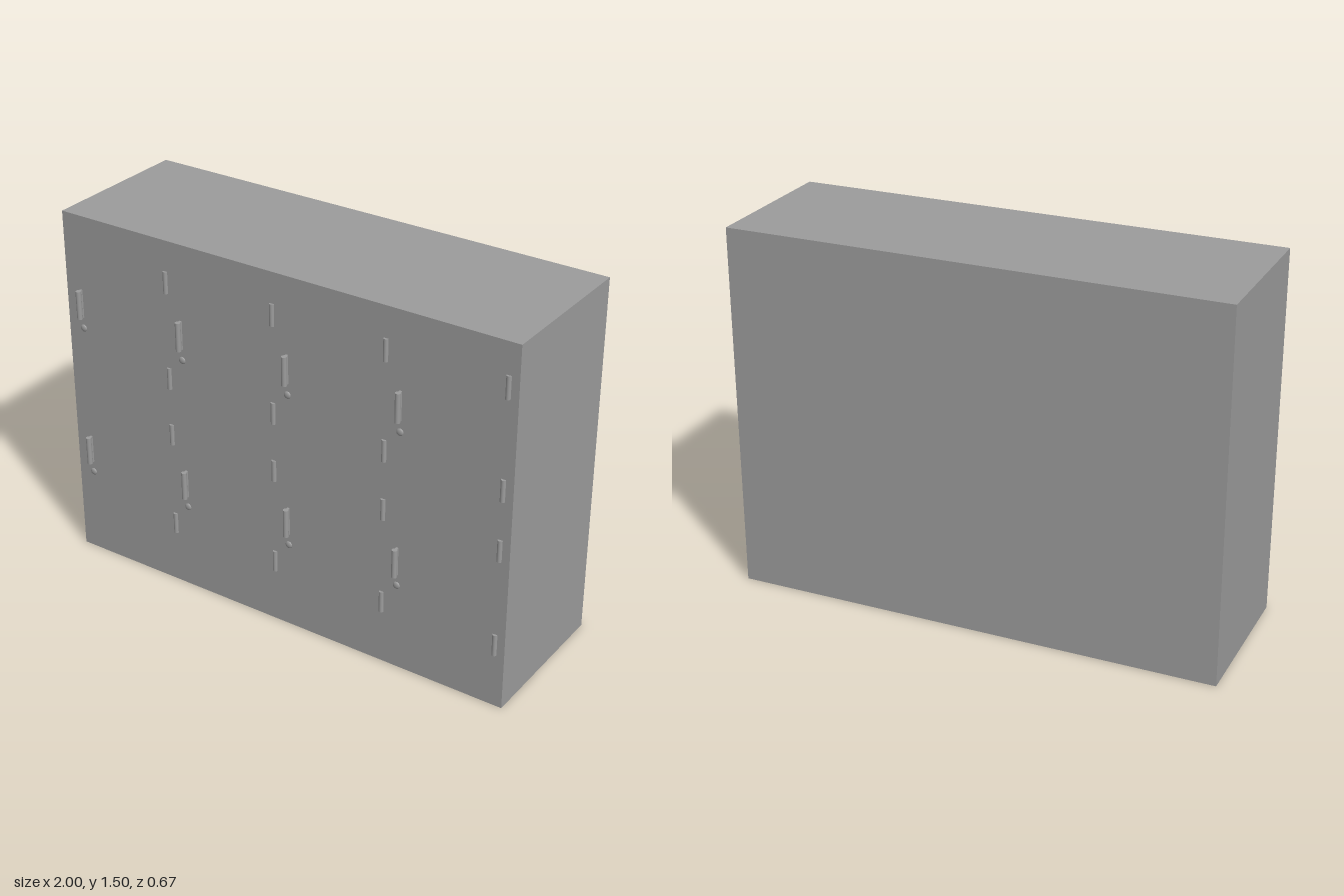
import * as THREE from 'three';

const FRONT = 0.303;
const BACK = -0.333;
const HEIGHT = 1.502;

export function createModel() {
  const group = new THREE.Group();
  const material = new THREE.MeshStandardMaterial({ color: 0x9c9c9c });
  const add = (name, geometry, x, y, z) => {
    const mesh = new THREE.Mesh(geometry, material);
    mesh.name = name;
    mesh.position.set(x, y, z);
    group.add(mesh);
  };

  // Cabinet body
  add('cabinet', new THREE.BoxGeometry(2, HEIGHT, FRONT - BACK), 0, HEIGHT / 2, (FRONT + BACK) / 2);

  // Upright round handle bar on a thin web
  const handleBar = new THREE.CylinderGeometry(0.011, 0.011, 0.119, 16);
  const handleWeb = new THREE.BoxGeometry(0.01, 0.119, 0.024);

  // Half-sunk hinge barrel and shallow domed lock
  const hinge = new THREE.CylinderGeometry(0.01, 0.01, 0.09, 16);
  const lock = new THREE.SphereGeometry(0.015, 16, 12);
  lock.scale(1, 1, 0.45);

  // Four columns by two rows of doors
  for (let column = 0; column < 4; column++) {
    for (let row = 0; row < 2; row++) {
      const x = -0.929 + column * 0.488;
      const y = row * 0.654;
      add('handleBar', handleBar, x, 0.475 + y, FRONT + 0.019);
      add('handleWeb', handleWeb, x, 0.475 + y, FRONT + 0.008);
      add('lock', lock, x, 0.368 + y, FRONT);
      for (const hingeY of [0.271, 0.677]) add('hinge', hinge, x + 0.423, hingeY + y, FRONT);
    }
  }
  return group;
}
